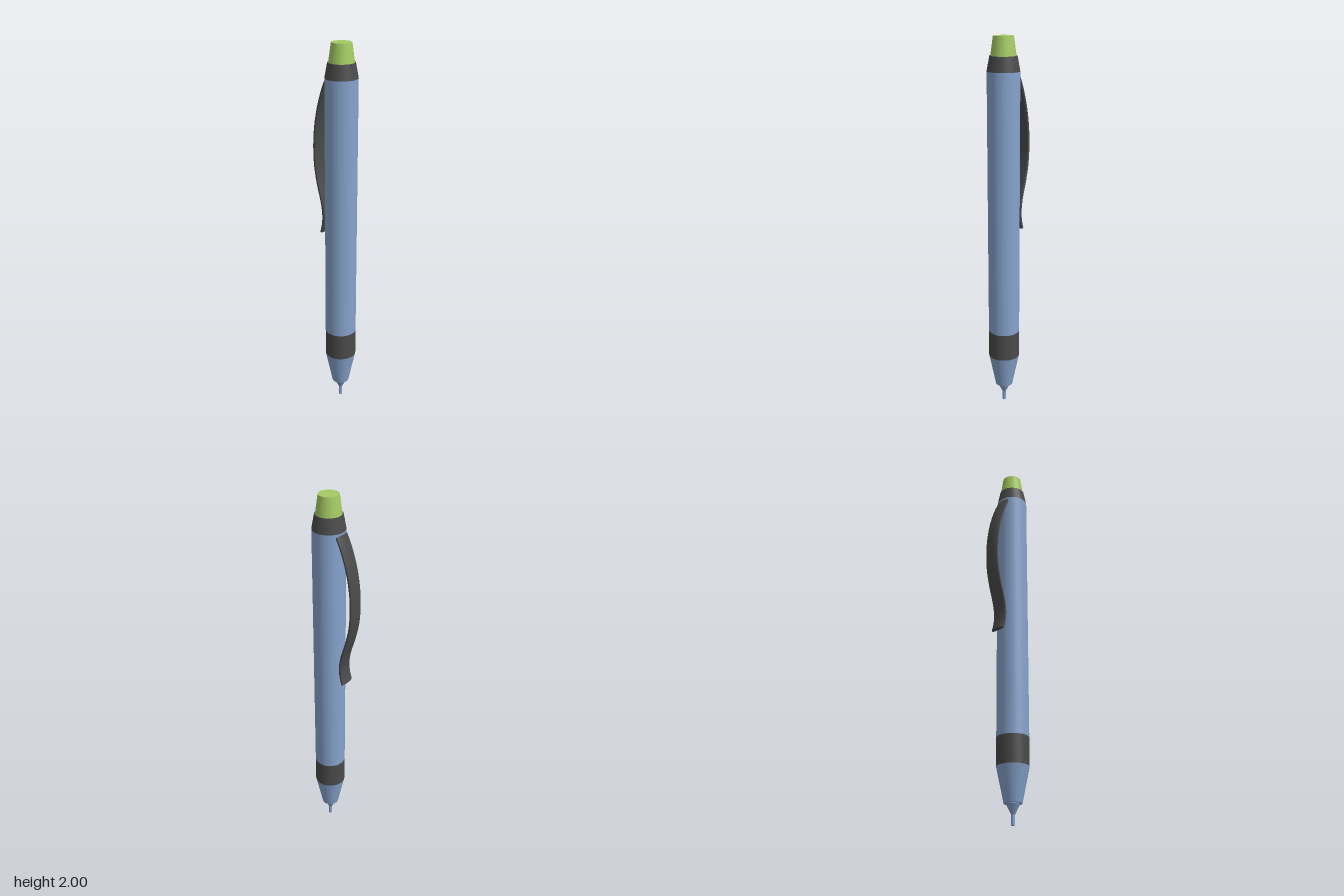
import * as THREE from 'three';
import { toCreasedNormals } from 'three/addons/utils/BufferGeometryUtils.js';

const AXIS_Z = 0.043; // barrel axis; the clip extends behind it
const R = 0.083;
const blue = new THREE.MeshStandardMaterial({ color: 0x86a3cc });
const dark = new THREE.MeshStandardMaterial({ color: 0x4a4a4a });
const green = new THREE.MeshStandardMaterial({ color: 0xa4cb62 });

// Turned part from [radius, height] pairs listed bottom to top
function turned(name, profile, material) {
  const points = profile.map(([r, y]) => new THREE.Vector2(r, y));
  const mesh = new THREE.Mesh(toCreasedNormals(new THREE.LatheGeometry(points, 64), 0.15), material);
  mesh.name = name;
  mesh.position.z = AXIS_Z;
  return mesh;
}

// Strip with a flat inside and an arched outside, swept along a curve in the yz plane
function clipGeometry() {
  const path = new THREE.CatmullRomCurve3([
    [1.815, -0.03], [1.76, -0.055], [1.66, -0.088], [1.55, -0.109], [1.45, -0.115], [1.35, -0.109],
    [1.26, -0.09], [1.18, -0.066], [1.13, -0.055], [1.08, -0.052], [1.04, -0.057], [1.0, -0.068],
  ].map(([y, z]) => new THREE.Vector3(0, y, z)));

  const section = [[-0.038, -0.009], [0.038, -0.009], [0.042, -0.006]];
  for (let i = 0; i <= 12; i++) {
    const t = 1 - i / 6;
    section.push([0.042 * t, 0.011 - 0.009 * Math.pow(Math.abs(t), 2.5)]);
  }
  section.push([-0.042, -0.006]);

  const steps = 56, n = section.length, pos = [], index = [];
  for (let k = 0; k <= steps; k++) {
    const p = path.getPointAt(k / steps), t = path.getTangentAt(k / steps);
    for (const [x, h] of section) pos.push(x, p.y - t.z * h, p.z + t.y * h);
  }
  for (let k = 0; k < steps; k++) {
    for (let i = 0; i < n; i++) {
      const a = k * n + i, b = k * n + (i + 1) % n;
      index.push(a, b + n, b, a, a + n, b + n);
    }
  }
  // End caps
  const last = steps * n;
  for (let i = 1; i < n - 1; i++) index.push(0, i, i + 1, last, last + i + 1, last + i);

  const geometry = new THREE.BufferGeometry();
  geometry.setAttribute('position', new THREE.Float32BufferAttribute(pos, 3));
  geometry.setIndex(index);
  return toCreasedNormals(geometry, 0.6);
}

export function createModel() {
  const pen = new THREE.Group();
  pen.name = 'pen';

  pen.add(
    // Thin lead sleeve flaring into the tip cone
    turned('tip', [[0, 0], [0.009, 0], [0.009, 0.05], [0.034, 0.1], [0.034, 0.11], [0, 0.11]], blue),
    turned('noseCone', [[0, 0.104], [0.046, 0.104], [R, 0.285], [0, 0.285]], blue),
    turned('gripBand', [[0, 0.285], [R, 0.285], [R, 0.433], [0, 0.433]], dark),
    turned('barrel', [[0, 0.433], [R, 0.433], [R, 1.83], [0, 1.83]], blue),
    turned('collar', [[0, 1.83], [R, 1.83], [0.069, 1.905], [0, 1.905]], dark),
    turned('pushButton', [[0, 1.9], [0.065, 1.9], [0.051, 2], [0, 2]], green),
  );

  const clip = new THREE.Mesh(clipGeometry(), dark);
  clip.name = 'clip';
  pen.add(clip);
  return pen;
}
